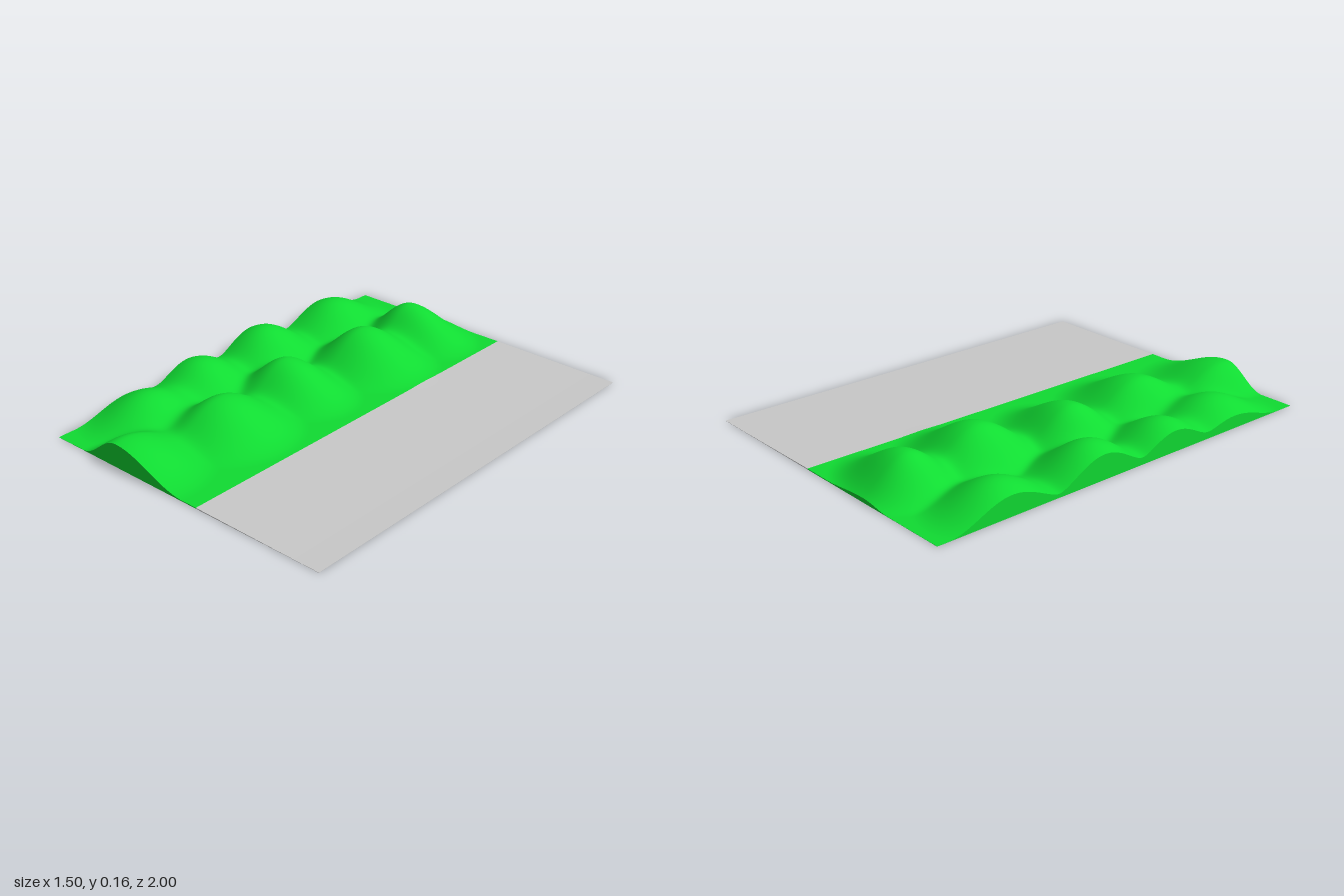
import * as THREE from 'three';

// Hills: x, z, height, radius towards -x, radius towards +x, radius along z
const HILLS = [
  // outer row
  [-0.61, 0.62, 0.11, 0.29, 0.30, 0.34],
  [-0.66, 0.25, 0.12, 0.30, 0.30, 0.30],
  [-0.66, -0.16, 0.14, 0.30, 0.30, 0.32],
  [-0.65, -0.64, 0.12, 0.30, 0.30, 0.33],
  // inner row
  [-0.37, 0.95, 0.115, 0.22, 0.40, 0.38],
  [-0.30, 0.47, 0.14, 0.25, 0.39, 0.36],
  [-0.34, 0.03, 0.145, 0.25, 0.40, 0.29],
  [-0.27, -0.42, 0.16, 0.27, 0.40, 0.34],
  [-0.29, -0.79, 0.154, 0.25, 0.40, 0.27],
];

// Height of the ground: rounded hills blended softly
function height(x, z) {
  let sum = 0;
  for (const [cx, cz, h, left, right, depth] of HILLS) {
    const r = Math.hypot((x - cx) / (x < cx ? left : right), (z - cz) / depth);
    if (r < 1) sum += (h * Math.cos(r * Math.PI / 2) ** 2) ** 2;
  }
  const base = 0.001 + 0.003 * Math.max(0, 1 - Math.abs(x - 0.1) / 0.5);
  return base + Math.sqrt(sum);
}

// Slab with a flat underside whose top follows the ground height
function groundSlab(name, x0, x1, nx, nz, material) {
  const geo = new THREE.BoxGeometry(x1 - x0, 1, 2, nx, 1, nz);
  geo.translate((x0 + x1) / 2, 0.5, 0);
  const p = geo.attributes.position;
  for (let i = 0; i < p.count; i++) {
    if (p.getY(i) > 0.5) p.setY(i, height(p.getX(i), p.getZ(i)));
  }
  geo.computeVertexNormals();
  const mesh = new THREE.Mesh(geo, material);
  mesh.name = name;
  return mesh;
}

export function createModel() {
  const grass = new THREE.MeshStandardMaterial({ name: 'grass green', color: 0x10dc32 });
  const road = new THREE.MeshStandardMaterial({ name: 'path grey', color: 0xc9c9c9 });

  const model = new THREE.Group();
  model.name = 'hillsideTile';
  model.add(groundSlab('grassHills', -0.75, 0.1, 80, 180, grass));
  model.add(groundSlab('flatPath', 0.1, 0.75, 16, 180, road));
  return model;
}
